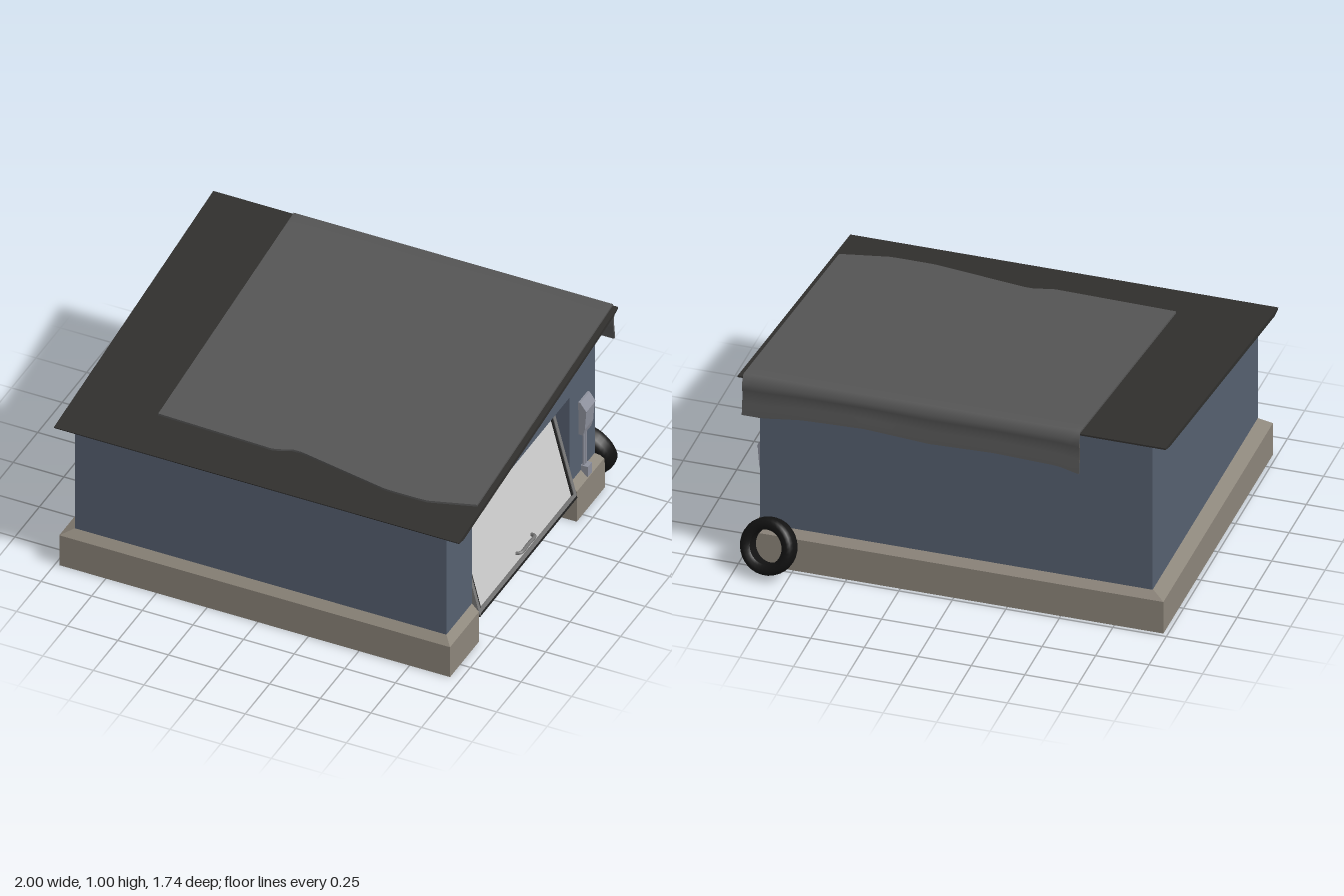
import * as THREE from 'three';

const mat = (color) => new THREE.MeshStandardMaterial({ color, side: THREE.DoubleSide });
const WALL = mat(0x566070), BASE = mat(0x8c857a), ROOF = mat(0x302f2d), TARP = mat(0x555555);
const DOOR = mat(0xcccccc), FRAME = mat(0x777777), DARK = mat(0x202020), METAL = mat(0x8d909c), RUBBER = mat(0x121212);

function add(parent, name, geo, material, x = 0, y = 0, z = 0) {
  const m = new THREE.Mesh(geo, material);
  m.name = name;
  m.position.set(x, y, z);
  parent.add(m);
  return m;
}
const box = (p, name, m, w, h, d, x, y, z) => add(p, name, new THREE.BoxGeometry(w, h, d), m, x, y, z);

// Side profile given as [z, y] points, extruded along x from x0 to x1
function sideExtrude(points, x0, x1) {
  const shape = new THREE.Shape(points.map(([z, y]) => new THREE.Vector2(-z, y)));
  const geo = new THREE.ExtrudeGeometry(shape, { depth: x1 - x0, bevelEnabled: false });
  return geo.rotateY(Math.PI / 2).translate(x0, 0, 0);
}

// Piecewise linear lookup in a list of [x, value]
function lerpTable(table, x) {
  let i = 1;
  while (i < table.length - 1 && x > table[i][0]) i++;
  const [a, va] = table[i - 1], [b, vb] = table[i];
  return va + (vb - va) * THREE.MathUtils.clamp((x - a) / (b - a), 0, 1);
}

const DOOR_FRONT = 0.56, DOOR_BACK = -0.44, DOOR_TOP = 0.675;
const wallTop = (z) => 0.75 + (0.82 - z) * 0.141;
const roofTop = (z) => 0.765 + (0.87 - z) * 0.138;

// Plinth: bevelled beam swept round the plan, left open at the doorway
function plinthGeometry() {
  const plan = [ // x, z, inward x, inward z
    [0.95, DOOR_BACK, -1, 0], [0.95, -0.73, -1, 1], [-0.98, -0.73, 1, 1],
    [-0.98, 0.855, 1, -1], [0.95, 0.855, -1, -1], [0.95, DOOR_FRONT, -1, 0]];
  const section = [[0, 0], [0, 0.165], [0.035, 0.2], [0.19, 0.2], [0.19, 0]];
  const rings = plan.map(([x, z, ix, iz]) => section.map(([t, y]) => {
    const tx = t === 0.035 && x < 0 ? 0.06 : t;
    return [x + ix * tx, y, z + iz * t];
  }));
  const pos = [];
  const tri = (...p) => p.forEach((v) => pos.push(...v));
  const n = section.length;
  for (let i = 0; i < rings.length - 1; i++) {
    for (let j = 0; j < n; j++) {
      const a = rings[i][j], b = rings[i][(j + 1) % n], c = rings[i + 1][(j + 1) % n], d = rings[i + 1][j];
      tri(a, b, c, a, c, d);
    }
  }
  const end = rings[rings.length - 1];
  for (let j = 1; j < n - 1; j++) {
    tri(rings[0][0], rings[0][j + 1], rings[0][j]);
    tri(end[0], end[j], end[j + 1]);
  }
  const geo = new THREE.BufferGeometry();
  geo.setAttribute('position', new THREE.Float32BufferAttribute(pos, 3));
  geo.computeVertexNormals();
  return geo;
}

// Tarpaulin: thin slab bent along the roof and hanging over the back edge
function tarpGeometry() {
  const frontEdge = [[-0.6, 0.63], [-0.02, 0.645], [0.07, 0.61], [0.55, 0.69], [0.75, 0.69], [0.975, 0.63]];
  const hem = [[-0.6, 0.79], [-0.5, 0.815], [-0.2, 0.825], [0.1, 0.815], [0.4, 0.835], [0.7, 0.825], [0.88, 0.8], [0.975, 0.8]];
  const geo = new THREE.BoxGeometry(1, 1, 1, 36, 1, 20);
  const p = geo.attributes.position;
  for (let i = 0; i < p.count; i++) {
    const x = -0.6 + (p.getX(i) + 0.5) * 1.575;
    const s = 0.5 - p.getZ(i); // 0 at the front edge, 1 at the hem
    const outer = p.getY(i) > 0 ? 1 : 0;
    let y, z;
    if (s <= 0.701) {
      z = THREE.MathUtils.lerp(lerpTable(frontEdge, x), -0.755, s / 0.7);
      y = roofTop(z) + 0.002 + 0.01 * outer;
    } else {
      const t = (s - 0.7) / 0.3;
      y = THREE.MathUtils.lerp(0.99 + 0.003 * outer, lerpTable(hem, x), t);
      z = -0.764 - 0.01 * outer - 0.005 * Math.cos(t * 6.3);
    }
    p.setXYZ(i, x, y, z);
  }
  geo.computeVertexNormals();
  return geo;
}

// Tilted up-and-over door, its origin at the middle of the bottom edge
function makeDoor() {
  const door = new THREE.Group();
  door.name = 'garageDoor';
  const len = 0.558, w = 0.994;
  box(door, 'doorPanel', DOOR, 0.016, len - 0.02, w - 0.04, -0.012, len / 2 + 0.01, 0);
  for (const s of [-1, 1]) {
    box(door, 'doorSideFrame', FRAME, 0.03, len, 0.02, -0.01, len / 2, s * (w / 2 - 0.01));
    box(door, 'doorSideSeal', DARK, 0.022, len - 0.02, 0.012, -0.01, len / 2 + 0.01, s * (w / 2 - 0.026));
  }
  box(door, 'doorBottomFrame', FRAME, 0.03, 0.018, w, -0.01, 0.021, 0);
  box(door, 'doorBottomSeal', DARK, 0.03, 0.012, w, -0.01, 0.006, 0);
  const grip = new THREE.CatmullRomCurve3([[-0.004, -0.08], [0.018, -0.07], [0.02, 0], [0.018, 0.07], [-0.004, 0.08]]
    .map(([x, z]) => new THREE.Vector3(x, 0.07, z)));
  add(door, 'doorHandle', new THREE.TubeGeometry(grip, 16, 0.009, 6), FRAME);
  door.position.set(0.95, 0.135, 0.06);
  door.rotation.z = 0.254;
  return door;
}

// Stadium outline for the wall lamp
function pillGeometry(length, height, depth) {
  const r = height / 2, c = length / 2 - r;
  const shape = new THREE.Shape();
  shape.absarc(c, 0, r, -Math.PI / 2, Math.PI / 2);
  shape.absarc(-c, 0, r, Math.PI / 2, Math.PI * 1.5);
  return new THREE.ExtrudeGeometry(shape, {
    depth, curveSegments: 8, bevelSize: 0.005, bevelThickness: 0.005, bevelOffset: -0.005, bevelSegments: 2,
  }).rotateY(Math.PI / 2);
}

// Wall-mounted utility box with pipes running down to the plinth
function makeUtilityBox() {
  const unit = new THREE.Group();
  unit.name = 'utilityBox';
  const profile = (pts, width) => new THREE.ExtrudeGeometry(
    new THREE.Shape(pts.map(([x, y]) => new THREE.Vector2(x, y))), { depth: width, bevelEnabled: false })
    .translate(0, 0, -width / 2);
  add(unit, 'boxHood', profile([[0.912, 0.59], [0.925, 0.59], [0.955, 0.548], [0.912, 0.548]], 0.096), METAL);
  add(unit, 'boxBody', profile([[0.912, 0.55], [0.953, 0.55], [0.945, 0.445], [0.936, 0.41], [0.912, 0.41]], 0.086), METAL);
  for (const z of [-0.01, 0.01]) {
    add(unit, 'pipe', new THREE.CylinderGeometry(0.007, 0.007, 0.2, 8), METAL, 0.924, 0.315, z);
  }
  box(unit, 'pipeFoot', METAL, 0.035, 0.055, 0.042, 0.932, 0.198, 0);
  unit.position.z = -0.575;
  return unit;
}

export function createModel() {
  const model = new THREE.Group();
  model.name = 'garage';

  add(model, 'plinth', plinthGeometry(), BASE);

  // Walls
  const zF = 0.82, zB = -0.7, zFi = 0.665, zBi = -0.54;
  const slab = (a, b) => [[a, 0.2], [b, 0.2], [b, wallTop(b)], [a, wallTop(a)]];
  add(model, 'frontWall', sideExtrude(slab(zF, zFi), -0.79, 0.76), WALL);
  add(model, 'backWall', sideExtrude(slab(zBi, zB), -0.79, 0.76), WALL);
  add(model, 'rightWall', sideExtrude(slab(zF, zB), -0.92, -0.79), WALL);
  add(model, 'doorWall', sideExtrude([
    [zF, 0.2], [DOOR_FRONT, 0.2], [DOOR_FRONT, DOOR_TOP], [DOOR_BACK, DOOR_TOP], [DOOR_BACK, 0.2],
    [zB, 0.2], [zB, wallTop(zB)], [zF, wallTop(zF)]], 0.76, 0.915), WALL);

  // Single-pitch roof and its cover
  add(model, 'roof', sideExtrude([[0.87, 0.765], [0.865, 0.757], [0.82, 0.75], [-0.7, 0.964], [-0.76, 0.982], [-0.76, 0.99]], -1, 1), ROOF);
  add(model, 'tarpaulin', tarpGeometry(), TARP);

  model.add(makeDoor());

  // Lamp above the door
  add(model, 'lampHousing', pillGeometry(0.128, 0.058, 0.018), DARK, 0.913, 0.765, 0.022);
  add(model, 'lampLens', pillGeometry(0.09, 0.034, 0.024), DOOR, 0.913, 0.765, 0.022);

  model.add(makeUtilityBox());

  // Spare tyre leaning on the back of the plinth
  const tyreProfile = [[0.08, -0.03], [0.09, -0.042], [0.112, -0.045], [0.126, -0.036], [0.132, -0.015],
    [0.132, 0.015], [0.126, 0.036], [0.112, 0.045], [0.09, 0.042], [0.08, 0.03], [0.08, -0.03]]
    .map(([r, y]) => new THREE.Vector2(r, y));
  const tyre = add(model, 'tyre', new THREE.LatheGeometry(tyreProfile, 32).rotateX(Math.PI / 2), RUBBER, 0.845, 0.145, -0.79);
  tyre.rotation.set(0.33, -0.2, 0, 'YXZ');

  return model;
}
